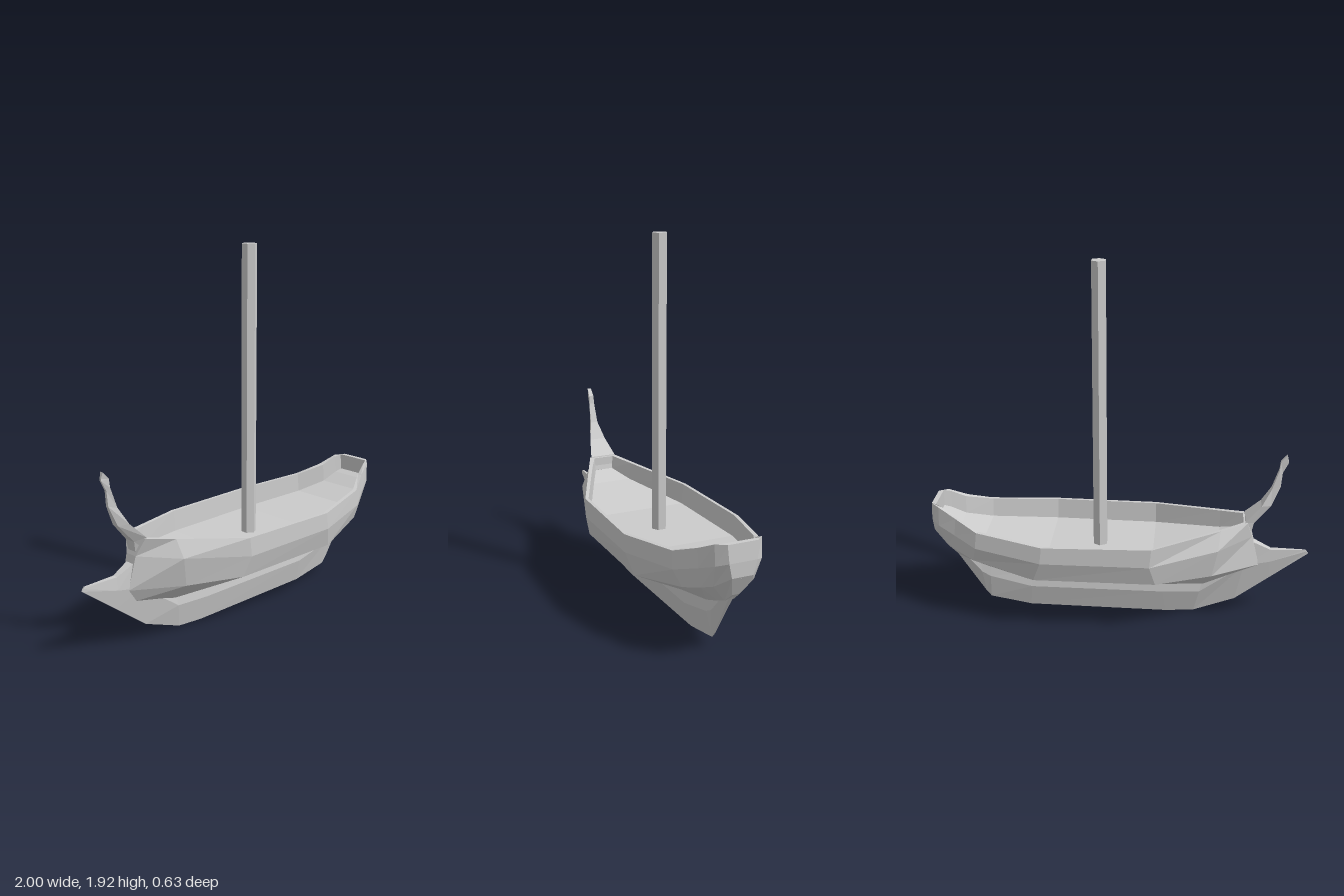
import * as THREE from 'three';

const material = new THREE.MeshStandardMaterial({ color: 0xcccccc, flatShading: true, side: THREE.DoubleSide });

// Mirror a point across the centre plane
const flip = ([x, y, z]) => [x, y, -z];

// Quads between neighbouring rows of points
function addGrid(out, rows) {
  for (let i = 0; i < rows.length - 1; i++) {
    for (let j = 0; j < rows[i].length - 1; j++) {
      const a = rows[i][j], b = rows[i + 1][j], c = rows[i + 1][j + 1], d = rows[i][j + 1];
      out.push(...a, ...b, ...c, ...a, ...c, ...d);
    }
  }
}

// Symmetric solid from half sections, listed from -x to +x, each running bottom to top
function mirroredLoft(name, halves) {
  const out = [];
  addGrid(out, halves.map(h => [...h, ...[...h].reverse().map(flip), h[0]]));
  const first = halves[0], last = halves[halves.length - 1];
  addGrid(out, [first.map(flip), first]);
  addGrid(out, [last, last.map(flip)]);
  const geometry = new THREE.BufferGeometry();
  geometry.setAttribute('position', new THREE.Float32BufferAttribute(out, 3));
  geometry.computeVertexNormals();
  const mesh = new THREE.Mesh(geometry, material);
  mesh.name = name;
  return mesh;
}

// Hull lines, bow to stern, as [x, y, z]
const garboard = [
  [-0.69, 0.24, 0.02], [-0.45, 0.19, 0.035], [-0.18, 0.178, 0.04], [0.45, 0.197, 0.04],
  [0.71, 0.25, 0.035], [0.81, 0.285, 0.03], [0.87, 0.31, 0.025], [0.93, 0.36, 0.02]];
const chine = [
  [-0.74, 0.31, 0.025], [-0.49, 0.305, 0.165], [-0.2, 0.3, 0.27], [0.43, 0.31, 0.285],
  [0.76, 0.363, 0.19], [0.85, 0.388, 0.14], [0.91, 0.41, 0.105], [0.99, 0.47, 0.055]];
const wale = [
  [-0.7, 0.48, 0.035], [-0.52, 0.46, 0.185], [-0.17, 0.41, 0.3], [0.39, 0.42, 0.317],
  [0.74, 0.45, 0.228], [0.86, 0.49, 0.16], [0.95, 0.525, 0.12], [0.995, 0.545, 0.072]];
const rail = [
  [-0.67, 0.572, 0.075], [-0.53, 0.553, 0.14], [-0.18, 0.51, 0.298], [0.38, 0.51, 0.315],
  [0.73, 0.54, 0.227], [0.85, 0.585, 0.16], [0.945, 0.63, 0.122], [0.99, 0.636, 0.08]];
const inner = [
  [-0.65, 0.57, 0.057], [-0.53, 0.553, 0.118], [-0.18, 0.51, 0.28], [0.37, 0.51, 0.298],
  [0.72, 0.54, 0.208], [0.855, 0.585, 0.132], [0.93, 0.625, 0.107], [0.965, 0.636, 0.093]];
const deckHeights = [0.5, 0.46, 0.4, 0.4, 0.44, 0.49, 0.535, 0.55];

function makeHull() {
  return mirroredLoft('hull', rail.map((r, i) => {
    const [x, , z] = inner[i];
    const deck = [x, deckHeights[i], z - 0.008];
    return [garboard[i], chine[i], wale[i], r, inner[i], deck];
  }));
}

// Blade-like keel running forward into the ram: [bottom x, y, top x, y, half width]
function makeKeel() {
  const stations = [
    [-1, 0.375, -0.985, 0.395, 0.004],
    [-0.8, 0.225, -0.8, 0.395, 0.02],
    [-0.62, 0.09, -0.69, 0.45, 0.036],
    [-0.4, 0.01, -0.45, 0.23, 0.036],
    [-0.25, 0, -0.22, 0.22, 0.036],
    [0.49, 0.01, 0.47, 0.22, 0.036],
    [0.71, 0.05, 0.7, 0.28, 0.033],
    [0.735, 0.08, 0.76, 0.3, 0.03],
    [0.985, 0.46, 0.975, 0.48, 0.018]];
  return mirroredLoft('keelAndRam', stations.map(([xb, yb, xt, yt, w]) => [
    [xb, yb, 0.003],
    [xb + (xt - xb) * 0.6, yb + (yt - yb) * 0.6, w],
    [xt, yt, w * 0.75]]));
}

// Curved stem post: [outer x, y, inner x, y, half width], tip to base
function makeStemPost() {
  const stations = [
    [-0.87, 0.9, -0.862, 0.932, 0.01],
    [-0.87, 0.89, -0.83, 0.895, 0.013],
    [-0.842, 0.835, -0.825, 0.85, 0.015],
    [-0.835, 0.757, -0.79, 0.745, 0.02],
    [-0.79, 0.652, -0.74, 0.657, 0.045],
    [-0.705, 0.555, -0.66, 0.577, 0.072],
    [-0.69, 0.48, -0.645, 0.5, 0.055]];
  return mirroredLoft('stemPost', stations.map(([xo, yo, xi, yi, w]) => [
    [xo, yo, w * 0.45], [xi, yi, w]]));
}

function makeMast() {
  const mast = new THREE.Mesh(new THREE.CylinderGeometry(0.04, 0.04, 1.54, 6), material);
  mast.position.set(0.105, 1.155, 0);
  mast.name = 'mast';
  return mast;
}

export function createModel() {
  const group = new THREE.Group();
  group.name = 'sailingShip';
  group.add(makeHull(), makeKeel(), makeStemPost(), makeMast());
  return group;
}
